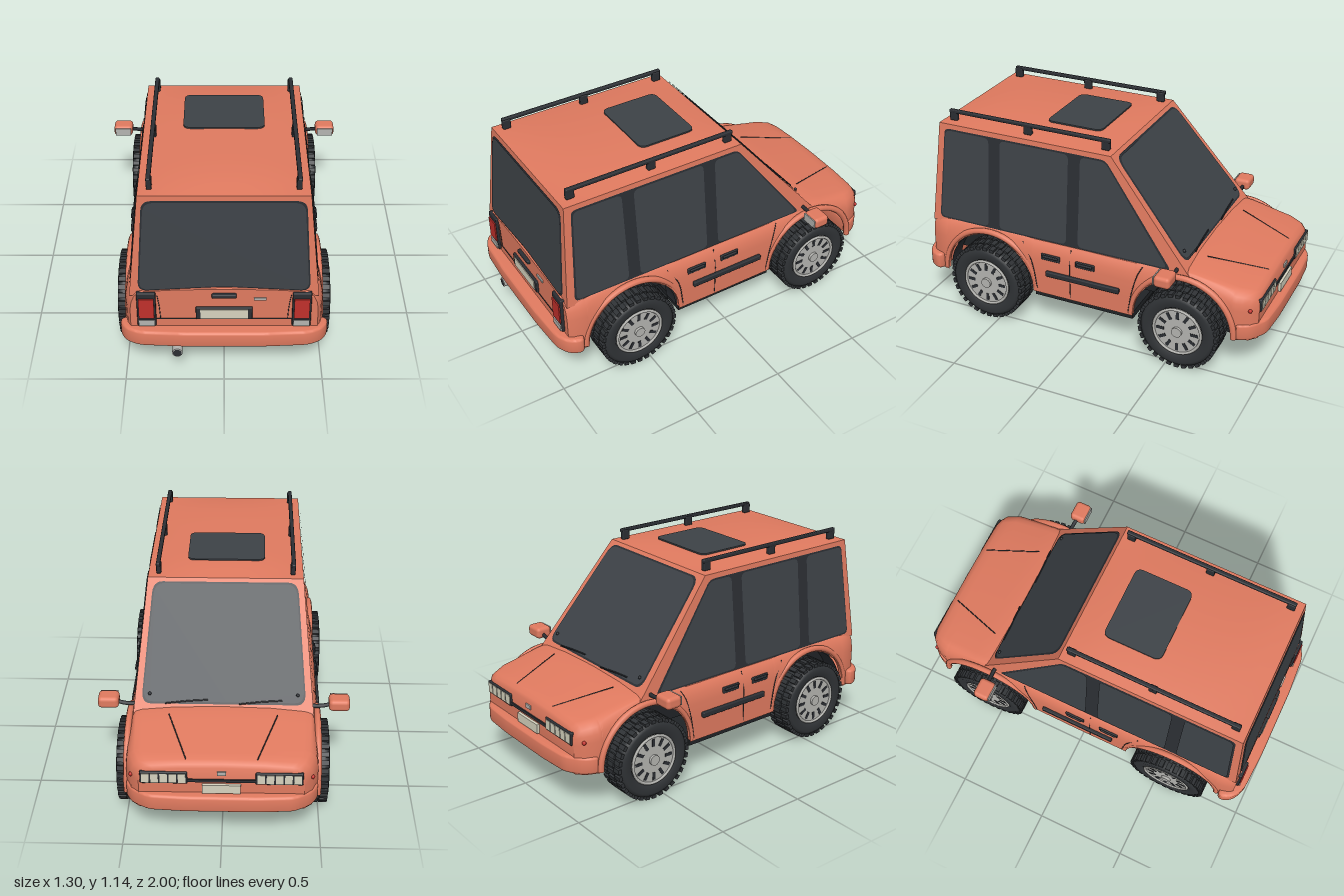
import * as THREE from 'three';
import { mergeGeometries, toCreasedNormals } from 'three/addons/utils/BufferGeometryUtils.js';
import { RoundedBoxGeometry } from 'three/addons/geometries/RoundedBoxGeometry.js';

const mat = (name, color, side = THREE.FrontSide) => {
  const m = new THREE.MeshStandardMaterial({ color, side });
  m.name = name;
  return m;
};
const V = (x, y, z) => new THREE.Vector3(x, y, z);

// piecewise-linear lookup
function ramp(table, t) {
  for (let i = 1; i < table.length; i++) {
    const [a, va] = table[i - 1], [b, vb] = table[i];
    if (t <= b) return va + (vb - va) * Math.max(0, (t - a) / (b - a));
  }
  return table[table.length - 1][1];
}

// lower body rules: half width, top height, lower edge with wheel arches
const WHEEL_Z = 0.565, WHEEL_Y = 0.22, ARCH = 0.27;
const halfWidth = z => ramp([[-0.955, 0.41], [-0.92, 0.45], [-0.85, 0.48], [-0.6, 0.492], [0, 0.497], [0.85, 0.495], [0.91, 0.48], [0.935, 0.465]], z);
const topY = z => ramp([[-0.955, 0.44], [-0.94, 0.465], [-0.6, 0.53], [-0.5, 0.535], [0.9, 0.535], [0.935, 0.525]], z);
const bottomY = z => {
  const d = Math.abs(z) - WHEEL_Z;
  return Math.abs(d) < ARCH ? WHEEL_Y + Math.sqrt(ARCH * ARCH - d * d) : 0.215;
};
const bodyX = (z, y) => halfWidth(z) - 0.04 * Math.max(0, (y - 0.38) / (topY(z) - 0.38)) ** 3;

// cabin rules: side, windscreen and tailgate planes
const up = y => (y - 0.53) / 0.54;
const cabinX = y => 0.462 - 0.055 * up(y);
const screenZ = y => -0.58 + 0.45 * up(y);
const tailZ = y => 0.927 - 0.045 * up(y);

function bodyGeometry() {
  const zs = [-0.955, -0.945, -0.92, -0.88, -0.85, -0.836, -0.294, -0.15, 0, 0.15, 0.294, 0.836, 0.87, 0.91, 0.935];
  for (let k = 0; k <= 16; k++) for (const s of [-1, 1]) zs.push(s * WHEEL_Z + ARCH * Math.cos(k * Math.PI / 16));
  zs.sort((a, b) => a - b);
  const pos = [], idx = [];
  let n = 0;
  for (const z of zs) {
    const yb = bottomY(z), yt = topY(z), w = halfWidth(z);
    const half = [0, 0.35, 0.65, 0.8, 0.92].map(f => {
      const y = yb + (yt - yb) * f;
      return [bodyX(z, y), y];
    });
    half.push([w - 0.045, yt], [w - 0.075, yt + 0.006], [w * 0.5, yt + 0.016]);
    const ring = [...half, [0, yt + 0.02], ...half.slice().reverse().map(([x, y]) => [-x, y])];
    n = ring.length;
    ring.forEach(([x, y]) => pos.push(x, y, z));
  }
  for (let i = 0; i < zs.length - 1; i++) for (let j = 0; j < n - 1; j++) {
    const a = i * n + j, c = a + n;
    idx.push(a, a + 1, c, a + 1, c + 1, c);
  }
  const last = (zs.length - 1) * n, mid = pos.length / 3;
  pos.push(0, 0.35, zs[0], 0, 0.35, zs[zs.length - 1]);
  for (let j = 0; j < n; j++) {
    const k = (j + 1) % n;
    idx.push(mid, k, j, mid + 1, last + j, last + k);
  }
  const g = new THREE.BufferGeometry();
  g.setAttribute('position', new THREE.Float32BufferAttribute(pos, 3));
  g.setIndex(idx);
  return toCreasedNormals(g, 0.7);
}

function cabinGeometry() {
  const g = new THREE.BoxGeometry(2, 1, 2, 12, 1, 12), p = g.attributes.position;
  for (let i = 0; i < p.count; i++) {
    const u = p.getX(i), w = p.getZ(i), top = p.getY(i) > 0;
    const y = top ? 1.068 : 0.5;
    const crown = top ? 0.026 * (1 - u * u) * (1 - w ** 4) : 0;
    p.setXYZ(i, u * cabinX(y), y + crown, THREE.MathUtils.lerp(screenZ(y), tailZ(y), (w + 1) / 2));
  }
  g.computeVertexNormals();
  return g;
}

// polygon with rounded corners
function roundedShape(pts, r) {
  const s = new THREE.Shape(), P = pts.map(p => new THREE.Vector2(...p)), n = P.length;
  P.forEach((p, i) => {
    const toward = q => p.clone().add(q.clone().sub(p).setLength(Math.min(r, q.distanceTo(p) * 0.45)));
    const a = toward(P[(i + n - 1) % n]), b = toward(P[(i + 1) % n]);
    if (i) s.lineTo(a.x, a.y); else s.moveTo(a.x, a.y);
    s.quadraticCurveTo(p.x, p.y, b.x, b.y);
  });
  s.closePath();
  return s;
}

// flat panel laid on a surface by a mapping rule
function sheet(pts, r, map) {
  const g = new THREE.ShapeGeometry(roundedShape(pts, r), 6), p = g.attributes.position;
  for (let i = 0; i < p.count; i++) p.setXYZ(i, ...map(p.getX(i), p.getY(i)));
  g.computeVertexNormals();
  return g;
}

export function createModel() {
  const car = new THREE.Group();
  car.name = 'car';
  const paint = mat('terracotta paint', 0xe07a5f, THREE.DoubleSide);
  const glass = mat('tinted glass', 0x3d4247, THREE.DoubleSide);
  const trim = mat('dark trim', 0x2b2e33, THREE.DoubleSide);
  const under = mat('underbody black', 0x202326);
  const rubber = mat('tyre rubber', 0x303336);
  const alloy = mat('alloy grey', 0xb4b4b0);
  const red = mat('lamp red', 0xc0302b);
  const cream = mat('plate cream', 0xd6d3bf);

  const add = (name, geo, m, parent = car) => {
    const mesh = new THREE.Mesh(geo, m);
    mesh.name = name;
    parent.add(mesh);
    return mesh;
  };
  const box = (name, m, w, h, d, x, y, z, r = 0) => {
    const mesh = add(name, r ? new RoundedBoxGeometry(w, h, d, 2, r) : new THREE.BoxGeometry(w, h, d), m);
    mesh.position.set(x, y, z);
    return mesh;
  };
  const line = (name, pts, r, m = trim) => add(name, new THREE.TubeGeometry(new THREE.CatmullRomCurve3(pts), 10, r, 5), m);

  add('body', bodyGeometry(), paint);
  add('cabin', cabinGeometry(), paint);

  // underside
  box('floor', under, 0.74, 0.02, 1.68, 0, 0.187, 0.01);
  box('sills', under, 0.96, 0.04, 0.58, 0, 0.205, 0);
  box('innerTub', under, 0.74, 0.18, 1.4, 0, 0.40, 0.15);

  // bumpers
  const bumper = (name, pts) => {
    const all = [...pts, ...pts.slice().reverse().map(([x, z]) => [-x, z])];
    const g = new THREE.ExtrudeGeometry(roundedShape(all, 0.03), { depth: 0.064, bevelSize: 0.014, bevelThickness: 0.014, bevelSegments: 3, curveSegments: 4 });
    g.rotateX(Math.PI / 2).translate(0, 0.295, 0);
    add(name, toCreasedNormals(g, 0.7), paint);
  };
  bumper('rearBumper', [[0.2, 0.984], [0.42, 0.972], [0.485, 0.94], [0.513, 0.88], [0.46, 0.875]]);
  bumper('frontBumper', [[0.18, -0.986], [0.36, -0.975], [0.44, -0.925], [0.475, -0.86], [0.43, -0.86]]);

  // windscreen and tailgate glass, each with a rubber edge
  const trapezoid = (x0, y0, x1, y1, e) => [[-x0 - e, y0 - e], [0, y0 - e + (y0 < 0.55 ? 0.025 : 0)], [x0 + e, y0 - e], [x1 + e, y1 + e], [-x1 - e, y1 + e]];
  for (const [part, m, e, off] of [['Seal', trim, 0.008, 0.004], ['Glass', glass, 0, 0.008]]) {
    add('windscreen' + part, sheet(trapezoid(0.415, 0.568, 0.37, 1.043, e), 0.05, (x, y) => [x, y + off * 0.65, screenZ(y) - off * 0.77]), m);
    add('tailgate' + part, sheet(trapezoid(0.415, 0.54, 0.38, 1.035, e), 0.05, (x, y) => [x, y, tailZ(y) + off]), m);
  }

  // sunroof
  const roofPlate = new THREE.ExtrudeGeometry(roundedShape([[-0.205, 0.02], [0.205, 0.02], [0.205, 0.34], [-0.205, 0.34]], 0.04), { depth: 0.008, bevelEnabled: false });
  add('sunroof', roofPlate.rotateX(Math.PI / 2).translate(0, 1.1, 0), glass);

  // wheels
  const tyreGeo = new THREE.LatheGeometry([[0.12, -0.06], [0.145, -0.077], [0.185, -0.08], [0.203, -0.07], [0.209, -0.05], [0.209, 0.05], [0.203, 0.07], [0.185, 0.08], [0.145, 0.077], [0.132, 0.06]].map(p => new THREE.Vector2(...p)), 48).rotateZ(-Math.PI / 2);
  const blocks = [];
  for (let i = 0; i < 32; i++) for (const [x, w, shift] of [[-0.054, 0.042, 0], [0, 0.05, 0.5], [0.054, 0.042, 0]]) {
    blocks.push(new THREE.BoxGeometry(w, 0.018, 0.025).translate(x, 0.211, 0).rotateX((i + shift) * Math.PI / 16));
  }
  const treadGeo = mergeGeometries(blocks);
  const disc = (r, x0, x1, seg = 40) => new THREE.CylinderGeometry(r, r, x1 - x0, seg).rotateZ(-Math.PI / 2).translate((x0 + x1) / 2, 0, 0);
  const slots = [];
  for (let i = 0; i < 12; i++) slots.push(new THREE.BoxGeometry(0.006, 0.042, 0.017).translate(0.069, 0.094, 0).rotateX(i * Math.PI / 6));
  const slotGeo = mergeGeometries(slots);
  for (const s of [1, -1]) for (const z of [WHEEL_Z, -WHEEL_Z]) {
    const wheel = new THREE.Group();
    wheel.name = (z > 0 ? 'rear' : 'front') + (s > 0 ? 'Left' : 'Right') + 'Wheel';
    wheel.position.set(s * 0.467, WHEEL_Y, z);
    wheel.rotation.y = s > 0 ? 0 : Math.PI;
    car.add(wheel);
    add('tyre', tyreGeo, rubber, wheel);
    add('tread', treadGeo, rubber, wheel);
    add('wheelBack', disc(0.135, -0.065, 0), under, wheel);
    add('rim', disc(0.134, 0, 0.07), alloy, wheel);
    add('rimLip', new THREE.TorusGeometry(0.13, 0.008, 6, 40).rotateY(Math.PI / 2).translate(0.072, 0, 0), alloy, wheel);
    add('rimSlots', slotGeo, trim, wheel);
    add('hubCap', disc(0.028, 0.06, 0.084, 20), alloy, wheel);
  }
  add('axles', mergeGeometries([-WHEEL_Z, WHEEL_Z].map(z => disc(0.025, -0.42, 0.42, 12).translate(0, WHEEL_Y, z))), under);

  // mirrored side parts
  for (const s of [1, -1]) {
    const side = off => (z, y) => [s * (cabinX(y) + off), y, z];
    add('sideWindowSeal', sheet([[0.885, 0.525], [-0.495, 0.525], [-0.105, 1.043], [0.848, 1.043]], 0.03, side(0.003)), trim);
    add('rearQuarterWindow', sheet([[0.875, 0.535], [0.575, 0.535], [0.575, 1.035], [0.84, 1.035]], 0.03, side(0.007)), glass);
    add('rearDoorWindow', sheet([[0.508, 0.535], [0.104, 0.535], [0.104, 1.035], [0.508, 1.035]], 0.03, side(0.007)), glass);
    add('frontDoorWindow', sheet([[0.036, 0.535], [-0.475, 0.535], [-0.105, 1.035], [0.036, 1.035]], 0.03, side(0.007)), glass);

    for (const z of [WHEEL_Z, -WHEEL_Z]) {
      const flare = add('archFlare', new THREE.TorusGeometry(0.284, 0.017, 8, 32, Math.PI).rotateY(Math.PI / 2), paint);
      flare.position.set(s * 0.483, WHEEL_Y + 0.005, z);
    }
    const liner = add('rearArchLiner', new THREE.CylinderGeometry(0.266, 0.266, 0.1, 24, 1, true, 0, Math.PI).rotateZ(Math.PI / 2), trim);
    liner.position.set(s * 0.42, WHEEL_Y, WHEEL_Z);
    liner.rotation.x = liner.geometry.attributes.position.getY(0) < -0.1 ? Math.PI : 0;
    liner.geometry.computeBoundingBox();
    const b = liner.geometry.boundingBox;
    // turn the half ring so that it opens downward
    liner.rotation.x = b.max.y < 0.01 ? Math.PI : b.min.y > -0.01 ? 0 : b.max.z > 0.1 ? -Math.PI / 2 : Math.PI / 2;

    // doors: moulding, handles and seams
    box('sideMoulding', trim, 0.022, 0.03, 0.43, s * 0.503, 0.35, -0.005, 0.006);
    for (const z of [0.185, -0.02]) {
      box('handleRecess', trim, 0.012, 0.036, 0.112, s * bodyX(z, 0.445), 0.445, z, 0.005);
      box('doorHandle', trim, 0.02, 0.014, 0.09, s * (bodyX(z, 0.445) + 0.004), 0.45, z, 0.005);
    }
    const seam = pts => line('doorSeam', pts.map(([z, y]) => V(s * bodyX(z, y), y, z)), 0.0025);
    seam([[0.07, 0.23], [0.07, 0.34], [0.07, 0.42], [0.07, 0.51]]);
    seam([[-0.27, 0.24], [-0.29, 0.36], [-0.32, 0.47], [-0.34, 0.51]]);
    seam([[0.27, 0.24], [0.30, 0.4], [0.36, 0.5]]);

    // door mirror
    line('mirrorArm', [V(s * 0.44, 0.54, -0.525), V(s * 0.5, 0.54, -0.525), V(s * 0.56, 0.55, -0.52)], 0.011);
    box('mirrorShell', paint, 0.108, 0.064, 0.09, s * 0.595, 0.556, -0.515, 0.02);
    box('mirrorGlass', alloy, 0.09, 0.046, 0.006, s * 0.595, 0.556, -0.469);

    // roof rail
    box('roofRail', trim, 0.022, 0.02, 0.95, s * 0.355, 1.125, 0.368, 0.006);
    for (const z of [0.82, 0.37, -0.08]) box('railFoot', trim, 0.026, 0.055, 0.045, s * 0.352, 1.1, z, 0.006);

    // tail lamp
    box('tailLampFrame', trim, 0.094, 0.21, 0.035, s * 0.383, 0.423, 0.932, 0.006);
    box('tailLampRed', red, 0.076, 0.122, 0.036, s * 0.383, 0.435, 0.938);
    box('reverseLamp', alloy, 0.08, 0.034, 0.036, s * 0.383, 0.342, 0.938);
    line('tailgateSeam', [V(s * 0.315, 0.36, 0.936), V(s * 0.32, 0.44, 0.936), V(s * 0.33, 0.51, 0.934)], 0.002);

    // headlamp
    box('headlampFrame', trim, 0.235, 0.07, 0.024, s * 0.285, 0.402, -0.952, 0.006);
    for (let i = 0; i < 5; i++) box('headlampLens', cream, 0.037, 0.052, 0.02, s * (0.195 + i * 0.045), 0.402, -0.957);
    const marker = add('sideMarker', new THREE.SphereGeometry(0.011, 12, 8), red);
    marker.position.set(s * bodyX(-0.92, 0.39), 0.39, -0.92);

    // bonnet creases and wipers
    line('bonnetCrease', [-0.92, -0.82, -0.72, -0.62].map(z => V(s * (0.175 + (z + 0.92) * 0.34), topY(z) + 0.016, z)), 0.003);
    const wiper = (x, y) => V(x, y + 0.006, screenZ(y) - 0.009);
    line('wiper', [wiper(s * 0.19 - 0.11, 0.578), wiper(s * 0.19, 0.572), wiper(s * 0.19 + 0.11, 0.562)], 0.004);
    const pivot = add('washerCap', new THREE.SphereGeometry(0.009, 10, 8), trim);
    pivot.position.copy(wiper(s * 0.38, 0.6));
  }

  // tailgate details
  line('tailgateGap', [V(-0.34, 0.355, 0.936), V(0, 0.355, 0.936), V(0.34, 0.355, 0.936)], 0.003);
  box('rearPlateFrame', trim, 0.28, 0.075, 0.02, 0, 0.398, 0.938, 0.005);
  box('rearPlate', cream, 0.235, 0.056, 0.02, 0, 0.398, 0.942);
  box('tailgateHandle', trim, 0.122, 0.022, 0.024, 0, 0.509, 0.94, 0.006);
  box('rearTrimBar', alloy, 0.062, 0.014, 0.012, 0.177, 0.487, 0.936);

  // nose details
  box('grilleSlot', trim, 0.34, 0.016, 0.012, 0, 0.385, -0.956);
  box('noseBadge', alloy, 0.045, 0.022, 0.012, 0, 0.43, -0.956);
  box('frontPlate', cream, 0.19, 0.05, 0.02, 0, 0.34, -0.96);

  // exhaust
  const pipe = new THREE.CylinderGeometry(0.026, 0.026, 0.13, 24).rotateX(Math.PI / 2);
  add('exhaustPipe', pipe, alloy).position.set(-0.235, 0.174, 0.925);
  add('exhaustBore', new THREE.CircleGeometry(0.022, 20), trim).position.set(-0.235, 0.174, 0.992);

  return car;
}
